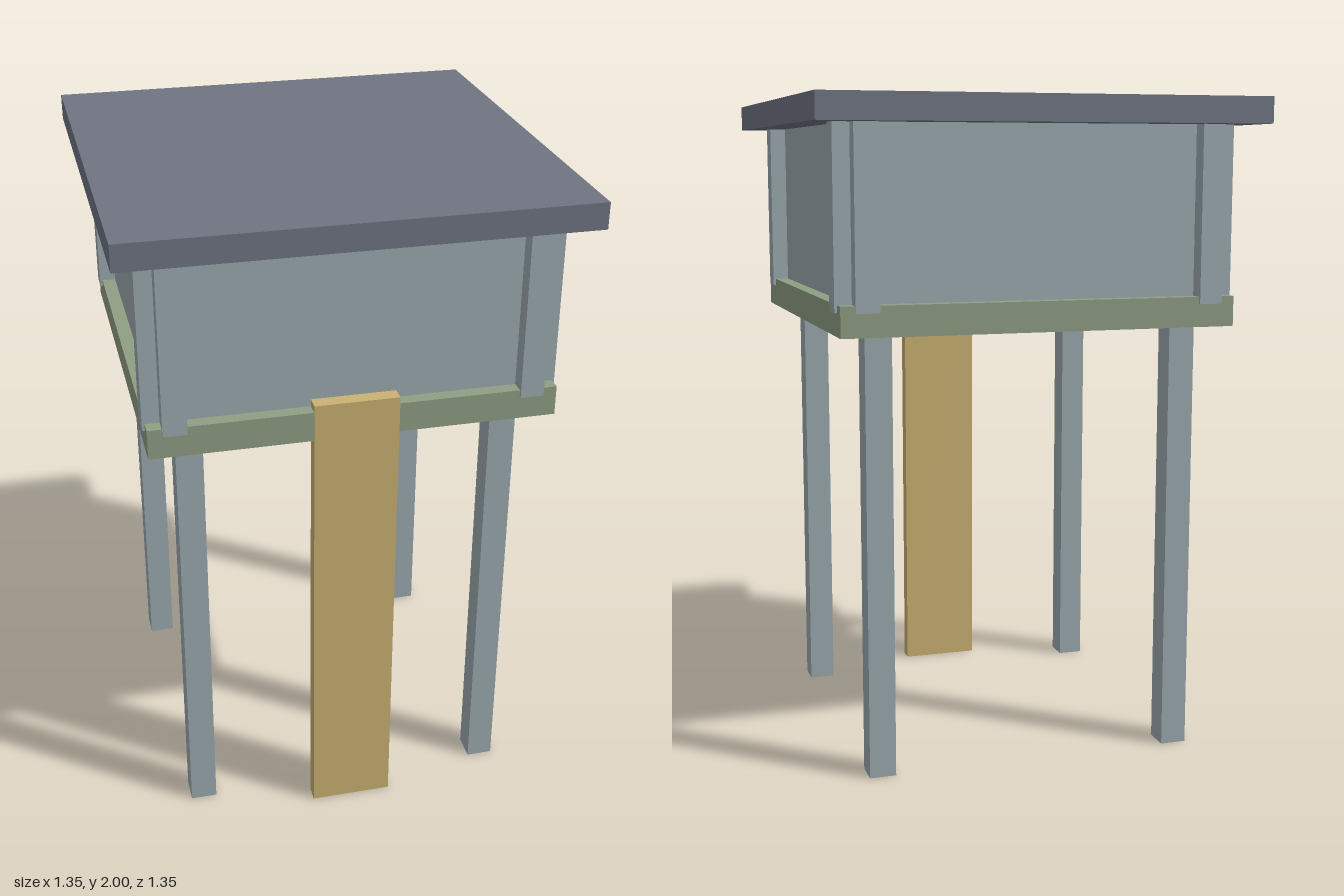
import * as THREE from 'three';

const mat = (name, color) => {
  const m = new THREE.MeshStandardMaterial({ color });
  m.name = name;
  return m;
};

export function createModel() {
  const model = new THREE.Group();
  model.name = 'stiltHut';
  const wall = mat('greyBlueWall', 0x9caab0);
  const roof = mat('slateRoof', 0x6f7582);
  const floor = mat('mossGreenFloor', 0x8f9e84);
  const wood = mat('tanWood', 0xcab172);

  // Box standing on height y0 and reaching y1
  const box = (name, material, w, d, y0, y1, x = 0, z = 0, parent = model) => {
    const mesh = new THREE.Mesh(new THREE.BoxGeometry(w, y1 - y0, d), material);
    mesh.name = name;
    mesh.position.set(x, (y0 + y1) / 2, z);
    parent.add(mesh);
    return mesh;
  };

  // Main volumes
  box('roof', roof, 1.346, 1.346, 1.922, 2);
  box('cabin', wall, 1.11, 1.11, 1.418, 1.922);
  box('floor', floor, 1.194, 1.194, 1.328, 1.418);

  // Four stilts
  for (const x of [-0.47, 0.47])
    for (const z of [-0.47, 0.47]) box('leg', wall, 0.08, 0.08, 0, 1.328, x, z);

  // A pair of upright battens on each cabin side
  for (let i = 0; i < 4; i++) {
    const side = new THREE.Group();
    side.name = 'sideBattens';
    side.rotation.y = (i * Math.PI) / 2;
    for (const x of [-0.52, 0.52])
      box('batten', wall, 0.07, 0.07, 1.397, 1.922, x, 0.57, side);
    model.add(side);
  }

  // Upright boarding plank at the front
  box('plank', wood, 0.25, 0.045, 0, 1.44, 0, 0.5785);

  return model;
}
